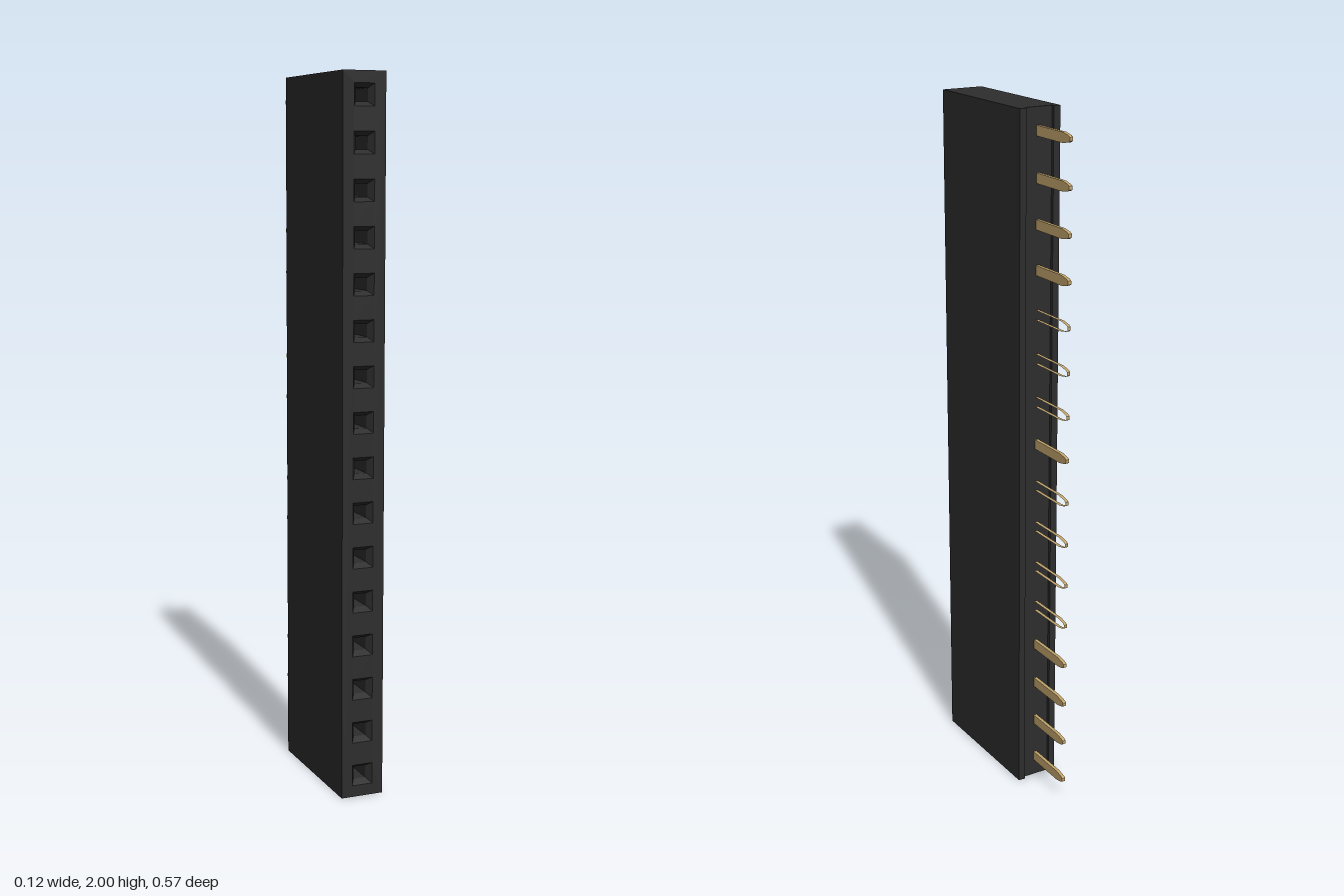
import * as THREE from 'three';

const COUNT = 16, PITCH = 0.125, HALF_W = 0.062;
const FRONT = 0.284, FUNNEL_Z = 0.264, FLOOR_Z = 0.06;
const MOUTH = 0.03, SOCKET = 0.018; // half sizes of the square openings
const HOLLOW = [4, 5, 6, 7, 9, 10, 11]; // pins made of a thin open rim, from the bottom

const pinY = (i) => PITCH * (i + 0.5);

function polygon(points) {
  return new THREE.Shape(points.map(([x, y]) => new THREE.Vector2(x, y)));
}

// Slab facing +z, pierced by one square hole per pin
function piercedSlab(z0, z1, half) {
  const shape = polygon([[-HALF_W, 0], [HALF_W, 0], [HALF_W, 2], [-HALF_W, 2]]);
  for (let i = 0; i < COUNT; i++) {
    const y = pinY(i);
    shape.holes.push(new THREE.Path([
      new THREE.Vector2(-half, y - half), new THREE.Vector2(-half, y + half),
      new THREE.Vector2(half, y + half), new THREE.Vector2(half, y - half),
    ]));
  }
  return new THREE.ExtrudeGeometry(shape, { depth: z1 - z0, bevelEnabled: false }).translate(0, 0, z0);
}

// Flat pin with a tapered tip, drawn in (z, y) and given its thickness along x
function pinGeometry() {
  const shape = polygon([
    [0.08, -0.014], [0.08, 0.014], [-0.252, 0.014], [-0.277, 0.009],
    [-0.284, 0.005], [-0.284, -0.005], [-0.277, -0.009], [-0.252, -0.014],
  ]);
  return new THREE.ExtrudeGeometry(shape, { depth: 0.01, bevelEnabled: false })
    .translate(0, 0, -0.005).rotateY(-Math.PI / 2);
}

// Only the rim of an extrusion, without its two flat caps
function rimOnly(geometry) {
  const { start, count } = geometry.groups[1];
  const rim = new THREE.BufferGeometry();
  for (const name of ['position', 'normal']) {
    const array = geometry.attributes[name].array.slice(start * 3, (start + count) * 3);
    rim.setAttribute(name, new THREE.BufferAttribute(array, 3));
  }
  return rim;
}

export function createModel() {
  const model = new THREE.Group();
  model.name = 'socketHeader';
  const plastic = new THREE.MeshStandardMaterial({ color: 0x2d2d2d, side: THREE.DoubleSide });
  plastic.name = 'black plastic';
  const gold = new THREE.MeshStandardMaterial({ color: 0xc2a56d, side: THREE.DoubleSide });
  gold.name = 'gold metal';

  const add = (name, geometry, material, y = 0) => {
    const mesh = new THREE.Mesh(geometry, material);
    mesh.name = name;
    mesh.position.y = y;
    model.add(mesh);
  };

  // Rear housing with a shallow channel between two rails, drawn in (x, -z)
  const rear = polygon([
    [-HALF_W, -FLOOR_Z], [HALF_W, -FLOOR_Z], [HALF_W, 0.133], [0.042, 0.133],
    [0.042, 0.123], [-0.042, 0.123], [-0.042, 0.133], [-HALF_W, 0.133],
  ]);
  add('rearHousing', new THREE.ExtrudeGeometry(rear, { depth: 2, bevelEnabled: false })
    .rotateX(-Math.PI / 2), plastic);

  // Socket block and front face with wider mouths
  add('socketBlock', piercedSlab(FLOOR_Z, FUNNEL_Z, SOCKET), plastic);
  add('frontFace', piercedSlab(FUNNEL_Z, FRONT, MOUTH), plastic);

  // Sloped lead-in of each socket
  const funnel = new THREE.CylinderGeometry(
    MOUTH * Math.SQRT2, SOCKET * Math.SQRT2, FRONT - FUNNEL_Z, 4, 1, true)
    .rotateY(Math.PI / 4).rotateX(Math.PI / 2)
    .translate(0, 0, (FRONT + FUNNEL_Z) / 2).toNonIndexed();
  funnel.computeVertexNormals();

  const solidPin = pinGeometry();
  const hollowPin = rimOnly(solidPin);
  for (let i = 0; i < COUNT; i++) {
    add('socketFunnel', funnel, plastic, pinY(i));
    add('pin', HOLLOW.includes(i) ? hollowPin : solidPin, gold, pinY(i));
  }
  return model;
}
